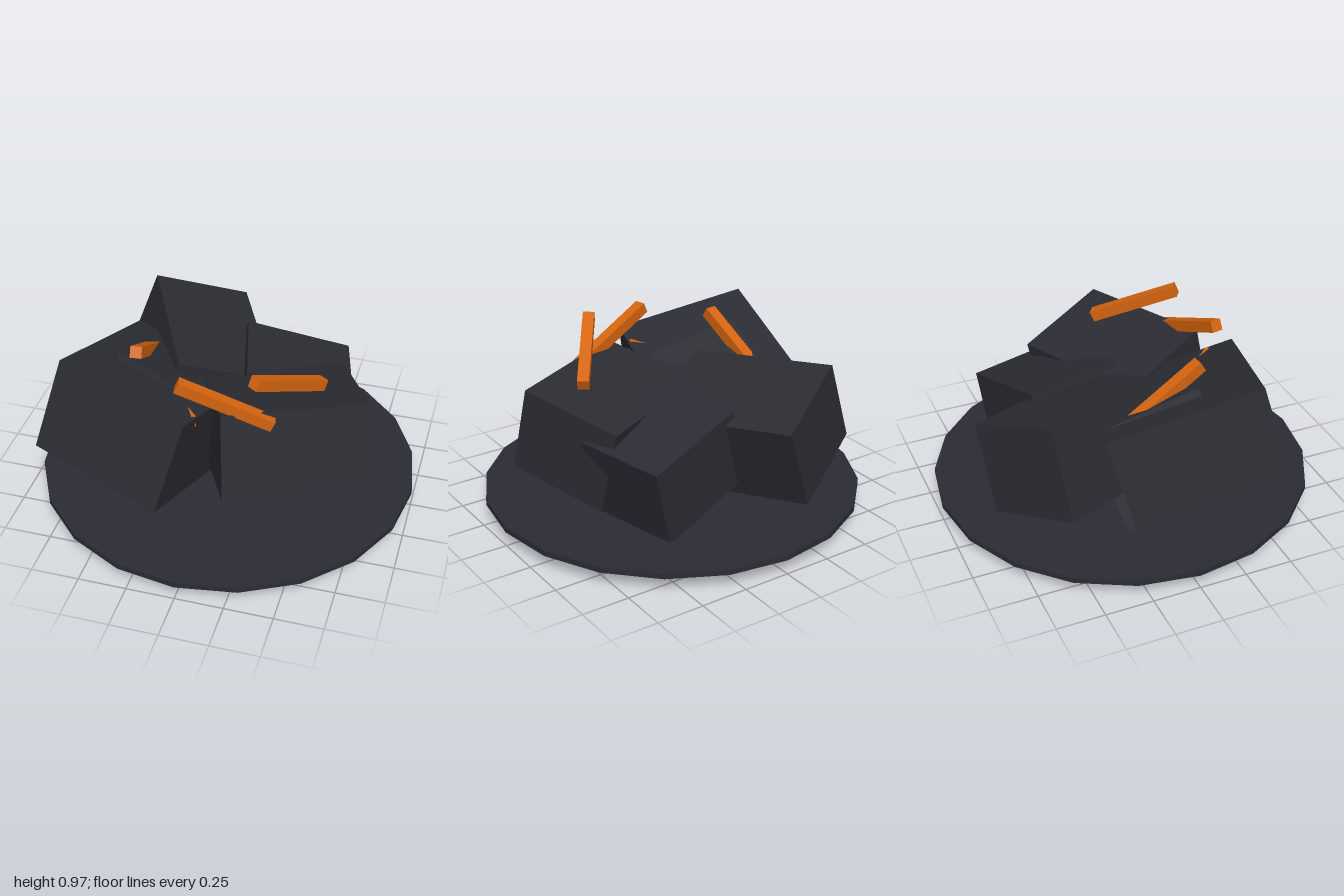
import * as THREE from 'three';

const V = (a) => new THREE.Vector3(...a);

export function createModel() {
  const model = new THREE.Group();
  const charcoal = new THREE.MeshStandardMaterial({ color: 0x2b2b33 });
  charcoal.name = 'charcoal';
  const orange = new THREE.MeshStandardMaterial({ color: 0xd4640f });
  orange.name = 'emberOrange';

  const add = (name, geometry, material) => {
    const mesh = new THREE.Mesh(geometry, material);
    mesh.name = name;
    model.add(mesh);
    return mesh;
  };

  // Thin twenty-sided base
  add('baseDisc', new THREE.CylinderGeometry(1, 1, 0.03, 20).toNonIndexed(), charcoal).position.y = 0.095;
  model.children[0].geometry.computeVertexNormals();

  // Tumbled block: one corner, two edges, and the signed depth along their cross product
  function block(name, corner, edgeU, edgeV, depth) {
    const u = V(edgeU), v = V(edgeV);
    const x = u.clone().normalize();
    const y = v.clone().addScaledVector(x, -v.dot(x)).normalize();
    const z = x.clone().cross(y);
    const mesh = add(name, new THREE.BoxGeometry(u.length(), v.length(), Math.abs(depth)), charcoal);
    mesh.quaternion.setFromRotationMatrix(new THREE.Matrix4().makeBasis(x, y, z));
    mesh.position.copy(V(corner))
      .addScaledVector(x, u.length() / 2)
      .addScaledVector(y, v.length() / 2)
      .addScaledVector(z, depth / 2);
  }
  block('frontRightBlock', [-0.75, 0.9, 0.43], [0.69, -0.14, 0.18], [-0.13, -0.48, 0.11], 0.8);
  block('frontLeftBlock', [0.09, 0.76, 0.48], [0.68, -0.02, -0.32], [0.035, -0.45, 0.1], 0.55);
  block('backRightBlock', [-0.58, 0.82, -0.59], [0.45, -0.18, -0.24], [-0.15, -0.44, 0.03], -0.777);
  block('backLeftBlock', [-0.03, 0.67, -0.5], [0.54, -0.15, -0.13], [0.12, 0.02, 0.5], 0.435);
  block('buriedBlock', [-0.44, 0.63, -0.37], [0.45, -0.135, 0.12], [-0.19, -0.49, 0.15], -0.6);

  // Glowing square sticks, upper end to lower end
  const sticks = [
    [[-0.13, 0.905, 0.48], [0.33, 0.695, 0.385]],
    [[0.24, 0.945, 0.42], [0.5, 0.74, 0.05]],
    [[-0.415, 0.89, 0.25], [-0.455, 0.66, -0.14]],
    [[-0.06, 0.7, 0.49], [-0.38, 0.66, 0.13]],
  ];
  sticks.forEach(([from, to], i) => {
    const a = V(from), b = V(to);
    const mesh = add(`emberStick${i + 1}`, new THREE.BoxGeometry(0.06, 0.06, a.distanceTo(b)), orange);
    mesh.position.copy(a).lerp(b, 0.5);
    mesh.lookAt(b);
  });

  return model;
}
